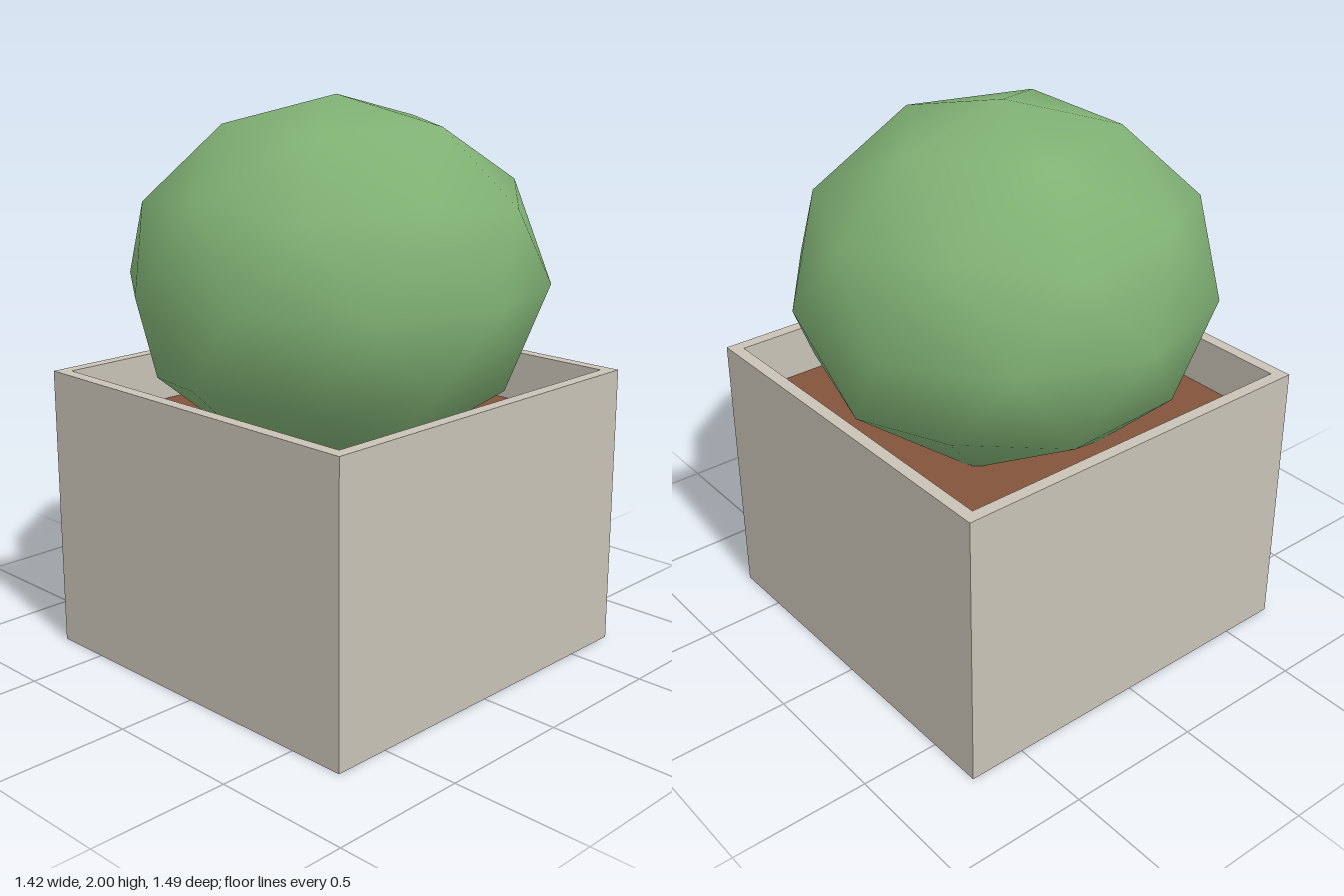
import * as THREE from 'three';

const OUTER = 0.71, INNER = 0.665, TOP = 1.03, SOIL_Y = 0.845;

function material(name, color, side = THREE.FrontSide) {
  const m = new THREE.MeshStandardMaterial({ color, side });
  m.name = name;
  return m;
}

function squarePoints(half) {
  return [[-half, -half], [half, -half], [half, half], [-half, half]]
    .map(([x, y]) => new THREE.Vector2(x, y));
}

// Four upright panels around a square
function wallLoop(name, half, bottom, top, mat) {
  const group = new THREE.Group();
  group.name = name;
  for (let i = 0; i < 4; i++) {
    const geo = new THREE.PlaneGeometry(half * 2, top - bottom);
    geo.translate(0, (top + bottom) / 2, half);
    geo.rotateY(i * Math.PI / 2);
    const panel = new THREE.Mesh(geo, mat);
    panel.name = name + 'Panel';
    group.add(panel);
  }
  return group;
}

export function createModel() {
  const model = new THREE.Group();
  model.name = 'plantedBox';
  const stone = material('paleStone', 0xc8c2b6, THREE.DoubleSide);
  const earth = material('brownSoil', 0x82543b, THREE.DoubleSide);
  const leaf = material('leafGreen', 0x80b174);

  // Planter: bottomless outer walls, shallow inner walls and a flat rim
  const planter = new THREE.Group();
  planter.name = 'planter';
  planter.add(wallLoop('outerWall', OUTER, 0, TOP, stone));
  planter.add(wallLoop('innerWall', INNER, SOIL_Y, TOP, stone));
  const frame = new THREE.Shape(squarePoints(OUTER));
  frame.holes.push(new THREE.Path(squarePoints(INNER)));
  const rim = new THREE.Mesh(new THREE.ShapeGeometry(frame).rotateX(-Math.PI / 2), stone);
  rim.name = 'rim';
  rim.position.y = TOP;
  planter.add(rim);
  model.add(planter);

  // Soil sheet
  const soil = new THREE.Mesh(
    new THREE.PlaneGeometry(INNER * 2, INNER * 2).rotateX(-Math.PI / 2), earth);
  soil.name = 'soil';
  soil.position.y = SOIL_Y;
  model.add(soil);

  // Clipped bush: smooth icosphere with a vertex at the top, slightly squashed
  const golden = (1 + Math.sqrt(5)) / 2;
  const ball = new THREE.IcosahedronGeometry(1, 1);
  ball.rotateZ(-Math.atan(1 / golden));
  ball.scale(0.745, 0.635, 0.745);
  const bush = new THREE.Mesh(ball, leaf);
  bush.name = 'bush';
  bush.position.y = 1.365;
  model.add(bush);

  return model;
}
